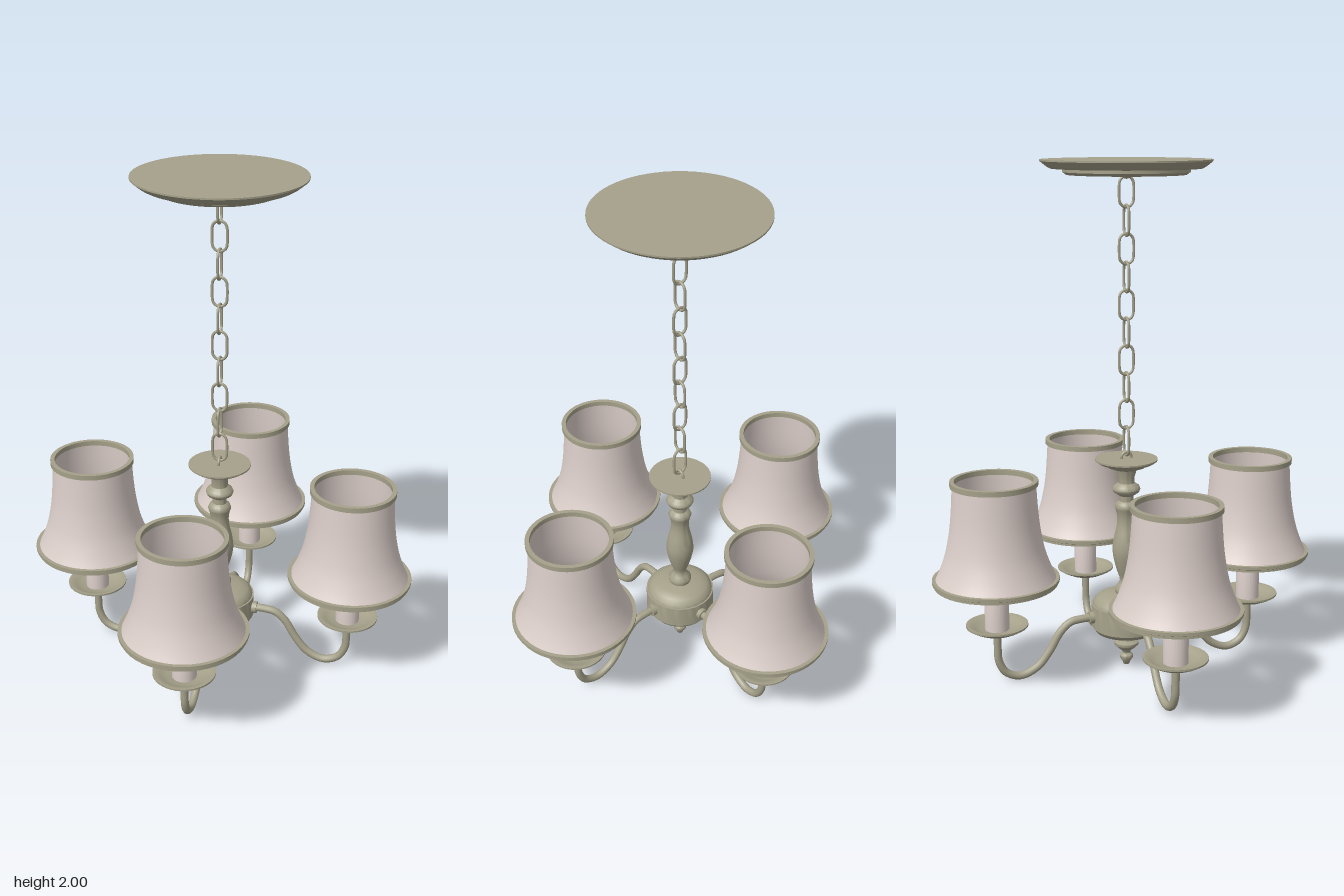
import * as THREE from 'three';
import { toCreasedNormals } from 'three/addons/utils/BufferGeometryUtils.js';

const metal = new THREE.MeshStandardMaterial({ color: 0xa5a18a });
metal.name = 'aged metal';
const fabric = new THREE.MeshStandardMaterial({ color: 0xdccfca, side: THREE.DoubleSide });
fabric.name = 'pale fabric';

const ARM_REACH = 0.53;

function add(parent, name, geometry, material) {
  const mesh = new THREE.Mesh(geometry, material);
  mesh.name = name;
  parent.add(mesh);
  return mesh;
}

// Turned part from [radius, height] pairs listed from bottom to top
function turned(profile, segments = 40, crease = 0.6) {
  const points = profile.map(([r, y]) => new THREE.Vector2(r, y));
  return toCreasedNormals(new THREE.LatheGeometry(points, segments), crease);
}

// Smooths a few profile points into a flowing curve
function flowing(profile, divisions) {
  const curve = new THREE.SplineCurve(profile.map(([r, y]) => new THREE.Vector2(r, y)));
  return curve.getPoints(divisions).map((p) => [Math.max(p.x, 0), p.y]);
}

// Oval chain link standing upright in the xy plane
function linkGeometry() {
  const points = [];
  const r = 0.028, straight = 0.029;
  for (let i = 0; i < 20; i++) {
    const a = ((i + 0.5) / 20) * Math.PI * 2;
    points.push(new THREE.Vector3(Math.cos(a) * r, Math.sin(a) * r + Math.sign(Math.sin(a)) * straight, 0));
  }
  return new THREE.TubeGeometry(new THREE.CatmullRomCurve3(points, true), 40, 0.0055, 8, true);
}

// One arm with its dish, candle, bulb and shade, reaching along +x
function createArm() {
  const arm = new THREE.Group();
  const path = new THREE.CatmullRomCurve3([
    [0.12, 0.22], [0.19, 0.22], [0.235, 0.212], [0.275, 0.178], [0.32, 0.105], [0.37, 0.046],
    [0.44, 0.018], [0.498, 0.04], [0.526, 0.09], [ARM_REACH, 0.15], [ARM_REACH, 0.22],
  ].map(([x, y]) => new THREE.Vector3(x, y, 0)));
  add(arm, 'curvedArm', new THREE.TubeGeometry(path, 64, 0.0155, 12), metal);
  const collar = add(arm, 'armCollar', new THREE.CylinderGeometry(0.024, 0.024, 0.025, 20), metal);
  collar.rotation.z = Math.PI / 2;
  collar.position.set(0.145, 0.22, 0);

  const light = new THREE.Group();
  light.name = 'light';
  light.position.x = ARM_REACH;
  arm.add(light);

  // Drip dish with a hollow top
  add(light, 'dripDish', turned([
    [0, 0.203], [0.045, 0.206], [0.075, 0.215], [0.1, 0.227], [0.12, 0.239], [0.12, 0.246],
    [0.108, 0.246], [0.09, 0.236], [0.065, 0.226], [0, 0.224],
  ]), metal);

  // Candle sleeve, socket and pointed bulb
  add(light, 'candleSleeve', turned([
    [0.047, 0.22], [0.047, 0.435], [0.042, 0.443], [0, 0.443],
  ], 24), fabric);
  add(light, 'bulb', turned([
    [0.026, 0.44], [0.026, 0.5], [0.022, 0.54], [0.012, 0.57], [0, 0.585],
  ], 20, 0.9), metal);

  // Flared shade with trims
  add(light, 'shade', turned(flowing([
    [0.232, 0.43], [0.212, 0.475], [0.19, 0.54], [0.174, 0.62], [0.165, 0.7], [0.158, 0.81],
  ], 20), 48), fabric);
  add(light, 'shadeTopTrim', turned([
    [0.15, 0.8], [0.167, 0.8], [0.167, 0.82], [0.15, 0.82], [0.15, 0.8],
  ], 48), metal);
  add(light, 'shadeBottomTrim', turned([
    [0.222, 0.411], [0.238, 0.411], [0.238, 0.42], [0.244, 0.423], [0.244, 0.435],
    [0.222, 0.435], [0.222, 0.411],
  ], 48), metal);
  return arm;
}

export function createModel() {
  const model = new THREE.Group();
  model.name = 'chandelier';

  // Stepped ceiling plate
  add(model, 'ceilingPlate', turned([
    [0, 1.944], [0.225, 1.944], [0.238, 1.954], [0.238, 1.967], [0.284, 1.967],
    [0.298, 1.975], [0.322, 1.994], [0.322, 2], [0, 2],
  ], 64), metal);
  add(model, 'plateKnob', turned([[0, 1.928], [0.015, 1.932], [0.024, 1.946]], 20), metal);

  // Chain, every second link turned a quarter
  const chain = new THREE.Group();
  chain.name = 'chain';
  model.add(chain);
  const link = linkGeometry();
  for (let i = 0; i < 10; i++) {
    const mesh = add(chain, 'chainLink', link, metal);
    mesh.position.y = 1.882 - i * 0.1058;
    mesh.rotation.y = i % 2 ? 0 : Math.PI / 2;
  }
  const loop = add(model, 'hangingLoop', new THREE.TorusGeometry(0.02, 0.006, 8, 24), metal);
  loop.position.y = 0.864;
  loop.rotation.y = Math.PI / 2;

  // Top cup
  add(model, 'topCup', turned([
    [0, 0.815], [0.05, 0.818], [0.076, 0.828], [0.085, 0.836], [0.108, 0.843],
    [0.122, 0.853], [0.122, 0.859], [0, 0.859],
  ]), metal);

  // Turned column
  add(model, 'column', turned([
    [0.036, 0.29], [0.046, 0.315], [0.046, 0.33], [0.034, 0.345], [0.026, 0.36],
    ...flowing([[0.028, 0.375], [0.043, 0.42], [0.055, 0.48], [0.05, 0.535], [0.038, 0.59], [0.037, 0.63], [0.046, 0.665]], 18),
    [0.04, 0.68], [0.028, 0.688], [0.028, 0.71], [0.05, 0.725], [0.055, 0.737], [0.05, 0.749],
    [0.032, 0.762], [0.032, 0.785], [0.042, 0.82],
  ], 32, 0.8), metal);

  // Hub drum
  add(model, 'hub', turned([
    [0, 0.142], [0.1, 0.144], [0.122, 0.152], [0.134, 0.168], [0.134, 0.178], [0.14, 0.178],
    [0.14, 0.266], [0.134, 0.266], [0.13, 0.28], [0.114, 0.295], [0.085, 0.306], [0, 0.312],
  ], 48), metal);

  // Bottom finial
  add(model, 'finial', turned([
    [0, 0], [0.012, 0.006], [0.016, 0.018], [0.026, 0.032], [0.026, 0.044], [0.016, 0.054],
    [0.018, 0.064], [0.034, 0.076], [0.048, 0.09], [0.048, 0.1], [0.028, 0.108], [0.024, 0.122], [0.036, 0.145],
  ], 28, 0.8), metal);

  // Four arms around the hub
  for (let i = 0; i < 4; i++) {
    const arm = createArm();
    arm.name = 'armAssembly';
    arm.rotation.y = (i * Math.PI) / 2;
    model.add(arm);
  }
  return model;
}
